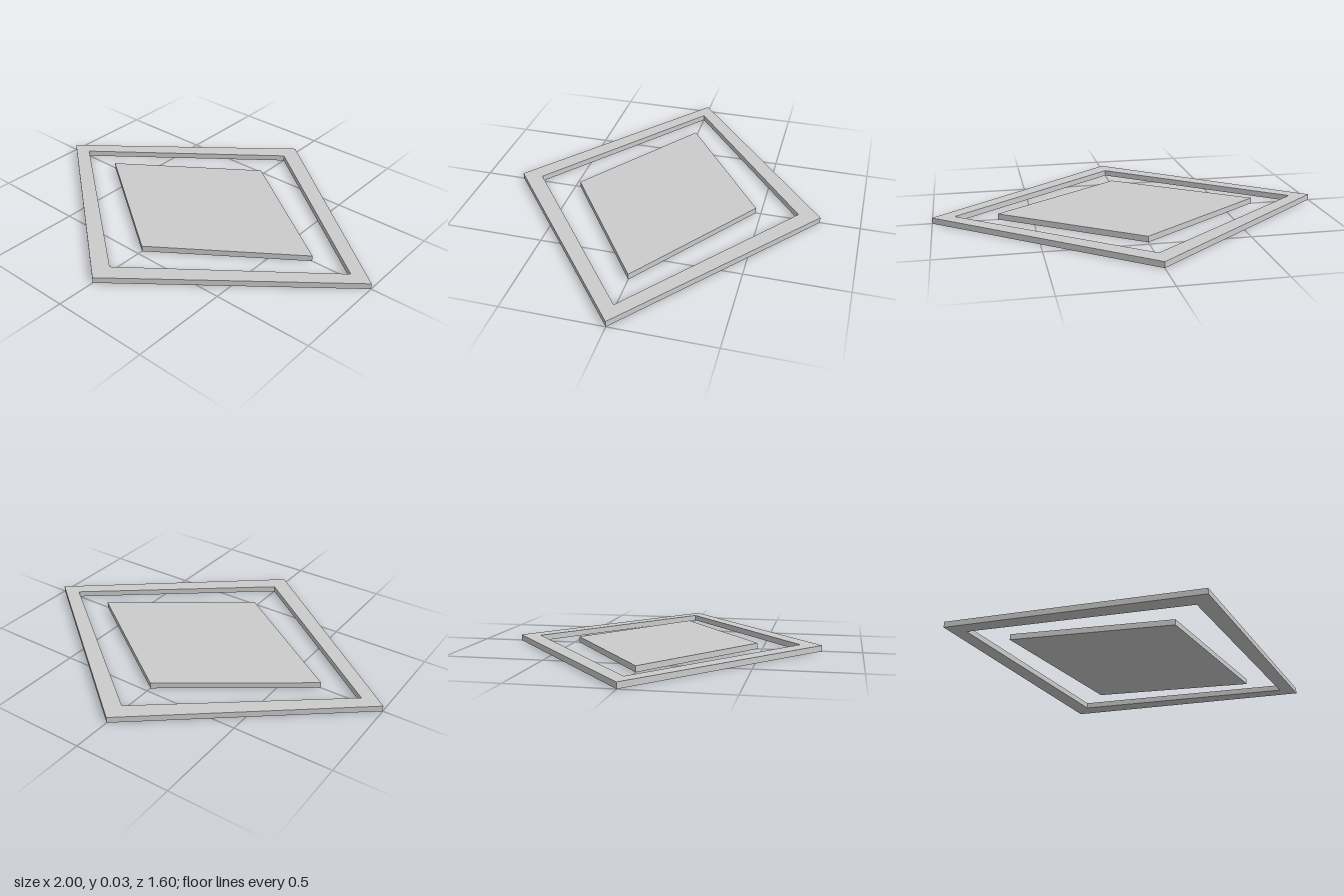
import * as THREE from 'three';

const THICKNESS = 0.03;

// Traces a diamond with half-width w and half-depth d
function traceDiamond(path, w, d) {
  path.moveTo(w, 0);
  path.lineTo(0, d);
  path.lineTo(-w, 0);
  path.lineTo(0, -d);
  path.closePath();
  return path;
}

// Flat slab lying on y = 0
function slab(name, shape, material) {
  const geometry = new THREE.ExtrudeGeometry(shape, { depth: THICKNESS, bevelEnabled: false });
  geometry.rotateX(-Math.PI / 2);
  const mesh = new THREE.Mesh(geometry, material);
  mesh.name = name;
  return mesh;
}

export function createModel() {
  const group = new THREE.Group();
  group.name = 'framedDiamond';
  const material = new THREE.MeshStandardMaterial({ color: 0xcccccc, flatShading: true });

  // Outer diamond frame with its opening
  const frame = traceDiamond(new THREE.Shape(), 1, 0.8);
  frame.holes.push(traceDiamond(new THREE.Path(), 0.888, 0.69));
  group.add(slab('outerFrame', frame, material));

  // Solid diamond in the middle
  group.add(slab('innerPlate', traceDiamond(new THREE.Shape(), 0.674, 0.474), material));

  return group;
}
